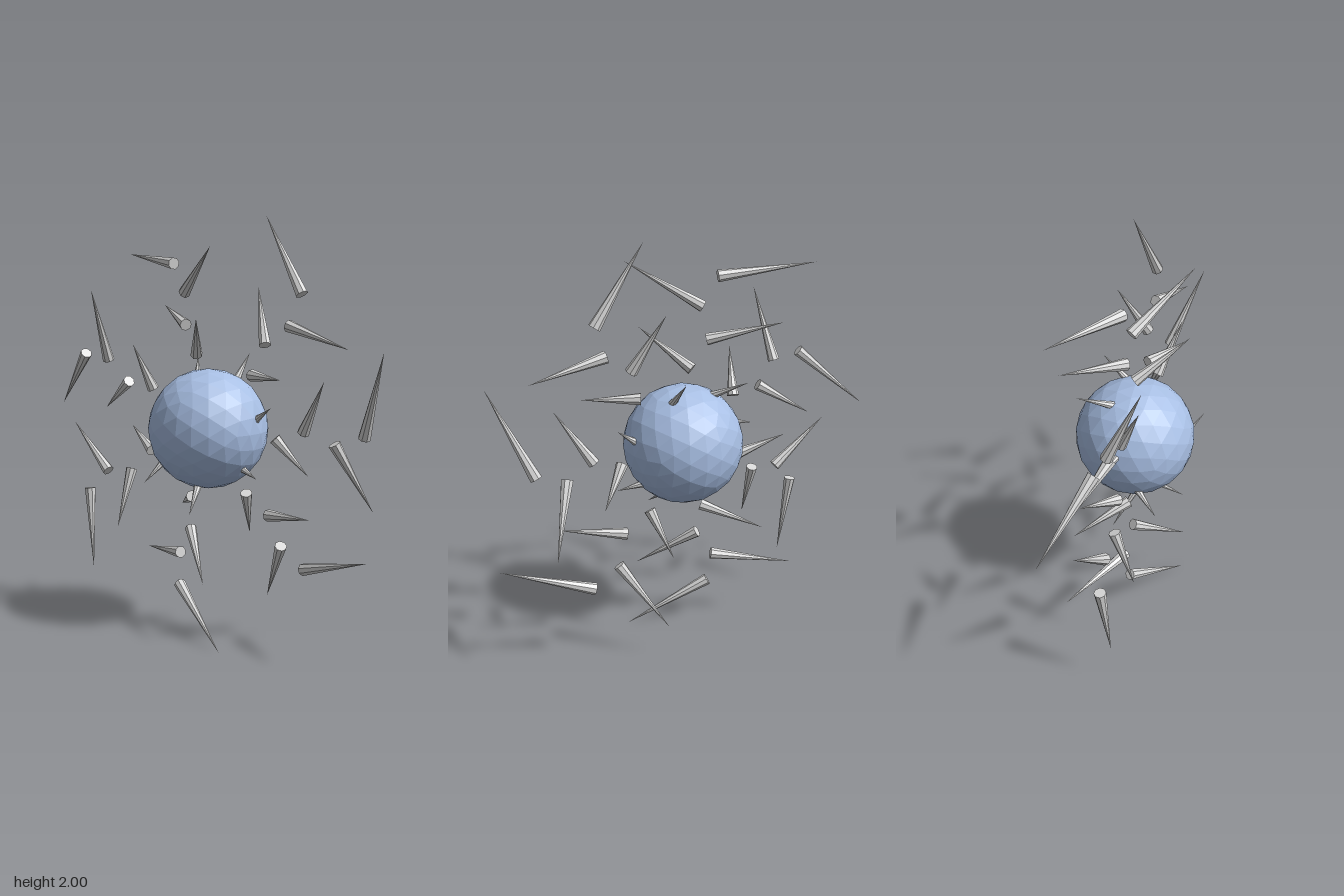
import * as THREE from 'three';

const RINGS = 5;
const PER_RING = 7;
const SPIKE_RADIUS = 0.029;

// Cone whose base centre sits at one point and whose tip sits at another
function spikeBetween(base, tip, material) {
  const axis = tip.clone().sub(base);
  const mesh = new THREE.Mesh(new THREE.ConeGeometry(SPIKE_RADIUS, axis.length(), 8), material);
  mesh.position.copy(base).addScaledVector(axis, 0.5);
  mesh.quaternion.setFromUnitVectors(new THREE.Vector3(0, 1, 0), axis.normalize());
  return mesh;
}

export function createModel() {
  const blue = new THREE.MeshStandardMaterial({ color: 0xa8bfe4, flatShading: true });
  blue.name = 'softBlue';
  const grey = new THREE.MeshStandardMaterial({ color: 0xd8d8d8, flatShading: true });
  grey.name = 'spikeGrey';

  const model = new THREE.Group();
  model.name = 'spikedOrb';

  // Faceted core
  const core = new THREE.Mesh(new THREE.IcosahedronGeometry(0.286, 3), blue);
  core.name = 'core';
  model.add(core);

  // Rings of spikes that swirl in alternating directions, their tips waving in depth
  const zAxis = new THREE.Vector3(0, 0, 1);
  for (let k = 1; k <= RINGS; k++) {
    const ring = new THREE.Group();
    ring.name = `spikeRing${k}`;
    const swirl = k % 2 ? 1 : -1;
    for (let i = 0; i < PER_RING; i++) {
      const angle = (i / PER_RING) * Math.PI * 2;
      const wave = Math.sin(3 * k + i);
      const base = new THREE.Vector3(0.06 + 0.148 * k, swirl * 0.02, 0.01 * wave);
      const tip = new THREE.Vector3(0.205 + 0.147 * k, swirl * (0.053 + 0.0715 * k), 0.24 * wave);
      const spike = spikeBetween(base.applyAxisAngle(zAxis, angle), tip.applyAxisAngle(zAxis, angle), grey);
      spike.name = 'spike';
      ring.add(spike);
    }
    model.add(ring);
  }

  model.position.set(0.042, 1.008, 0);
  const root = new THREE.Group();
  root.name = 'model';
  root.add(model);
  return root;
}
